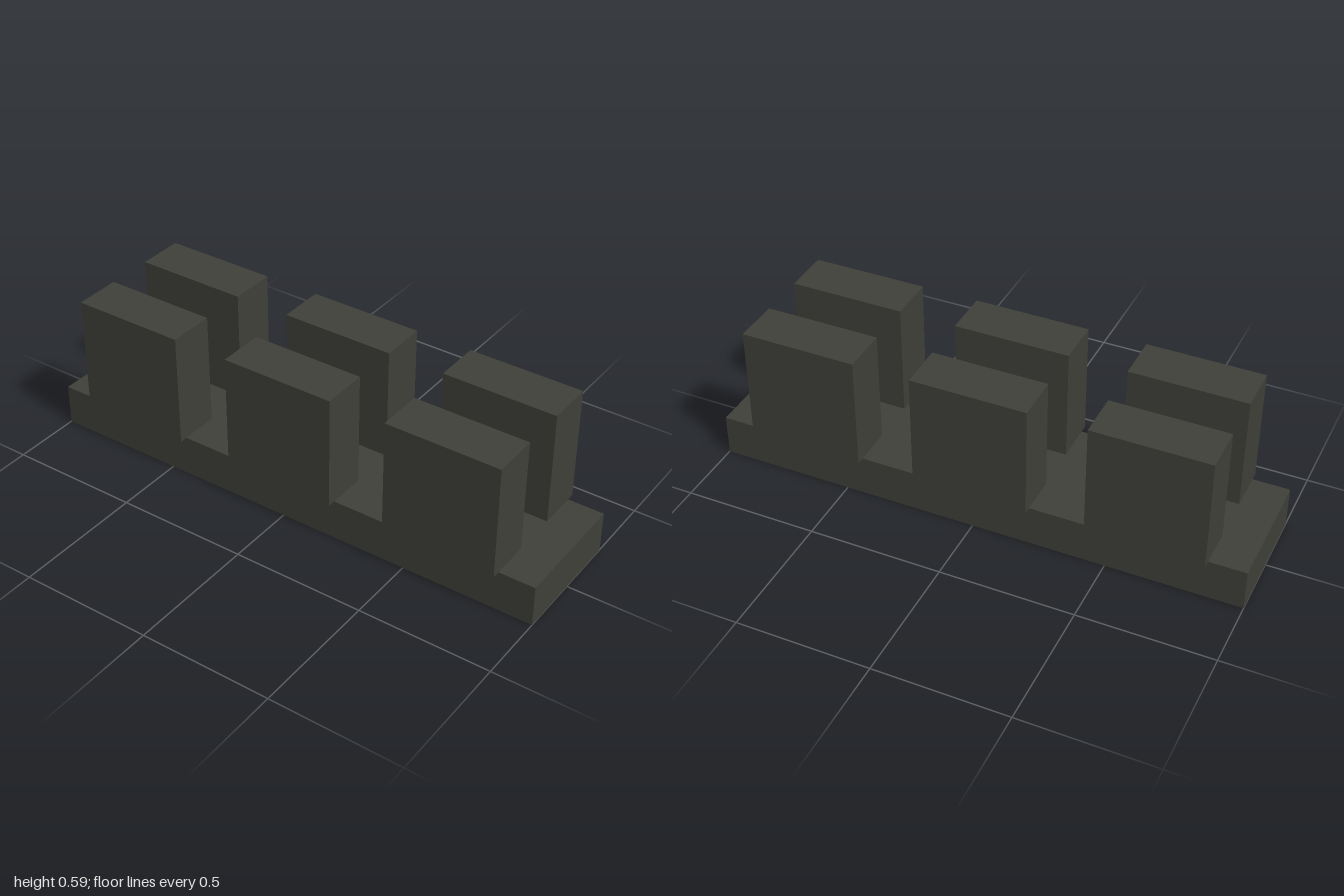
import * as THREE from 'three';

export function createModel() {
  const model = new THREE.Group();
  const darkGrey = new THREE.MeshStandardMaterial({ color: 0x40403a });
  darkGrey.name = 'darkGrey';

  // Adds a box whose underside sits at the given height
  const addBox = (name, [w, h, d], [x, bottom, z]) => {
    const mesh = new THREE.Mesh(new THREE.BoxGeometry(w, h, d), darkGrey);
    mesh.name = name;
    mesh.position.set(x, bottom + h / 2, z);
    model.add(mesh);
  };

  // Long base slab
  const baseHeight = 0.157;
  addBox('base', [2, baseHeight, 0.47], [0, 0, 0]);

  // Two rows of three upright blocks, slightly overhanging the base
  for (const [row, z] of [['front', 0.1765], ['back', -0.1765]]) {
    for (const [place, x] of [['Right', -0.647], ['Middle', 0], ['Left', 0.647]]) {
      addBox(`${row}${place}Block`, [0.432, 0.431, 0.177], [x, baseHeight, z]);
    }
  }

  return model;
}
